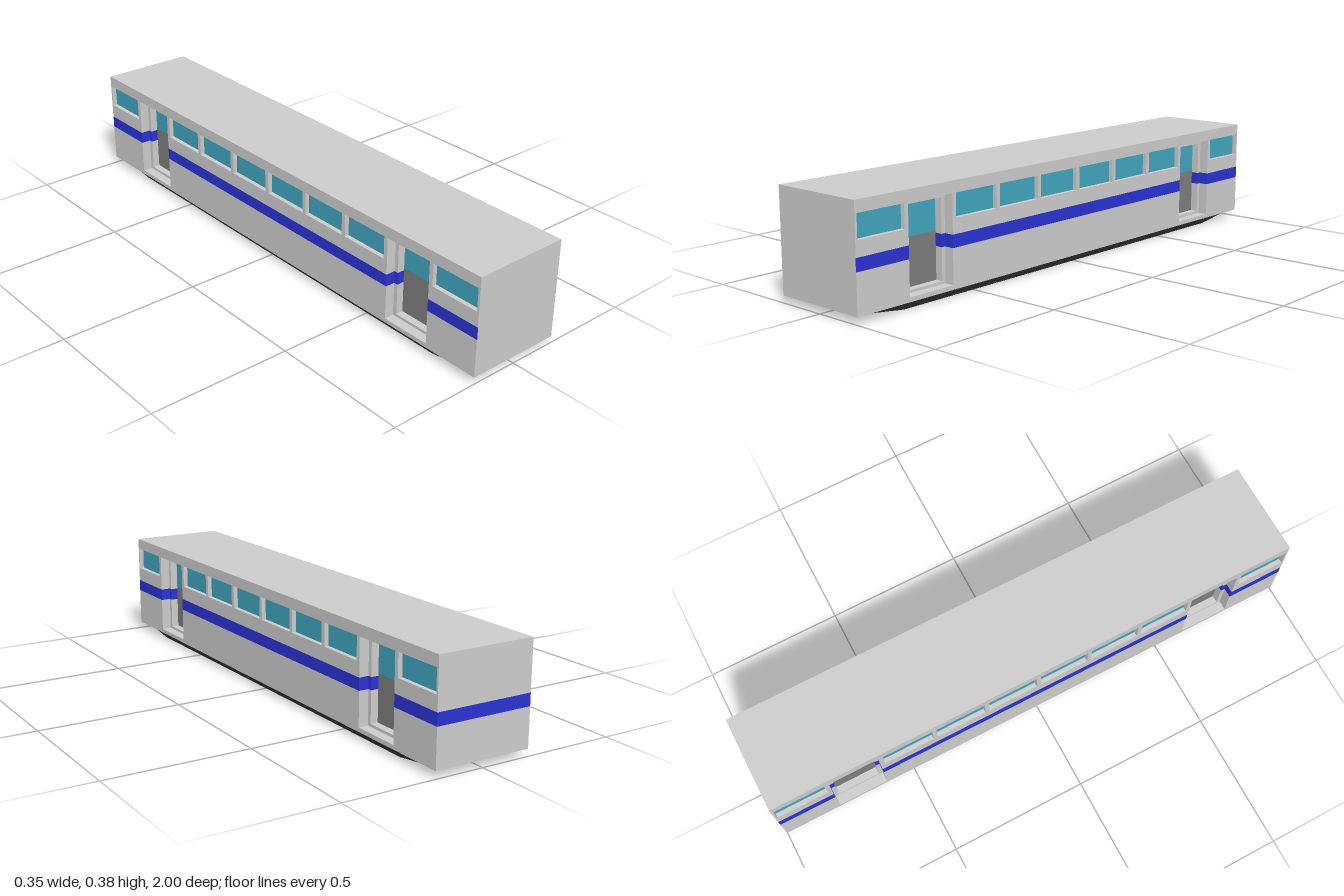
import * as THREE from 'three';

const HALF_W = 0.175, HALF_L = 1;
const SLOTS = [0.9, 0.7, 0.5, 0.3, 0.1, -0.1, -0.3, -0.5, -0.7, -0.9];
const isDoor = z => Math.abs(Math.abs(z) - 0.7) < 0.01;
const WINDOW = { half: 0.092, depth: 0.018, y0: 0.255, y1: 0.335 };
const DOOR = { outer: 0.0925, outerDepth: 0.035, inner: 0.0775, innerDepth: 0.065, y0: 0.05, sill: 0.21, y1: 0.32 };

const mat = color => new THREE.MeshStandardMaterial({ color, flatShading: true });

// One side of the floor plan, front to back, with notches for doors and windows
function sideOutline(doorLevel, windows) {
  const pts = [[HALF_W, HALF_L]];
  for (const z of SLOTS) {
    if (isDoor(z)) {
      if (!doorLevel) continue;
      const a = HALF_W - DOOR.outerDepth, b = HALF_W - DOOR.innerDepth;
      pts.push([HALF_W, z + DOOR.outer], [a, z + DOOR.outer]);
      if (doorLevel === 2) {
        pts.push([a, z + DOOR.inner], [b, z + DOOR.inner], [b, z - DOOR.inner], [a, z - DOOR.inner]);
      }
      pts.push([a, z - DOOR.outer], [HALF_W, z - DOOR.outer]);
    } else if (windows) {
      const a = HALF_W - WINDOW.depth;
      pts.push([HALF_W, z + WINDOW.half], [a, z + WINDOW.half], [a, z - WINDOW.half], [HALF_W, z - WINDOW.half]);
    }
  }
  pts.push([HALF_W, -HALF_L]);
  return pts;
}

// A horizontal slice of the body
function bandGeometry(y0, y1, doorLevel, windows) {
  const side = sideOutline(doorLevel, windows);
  const other = side.map(([x, z]) => [-x, z]).reverse();
  const shape = new THREE.Shape([...side, ...other].map(([x, z]) => new THREE.Vector2(x, -z)));
  const geo = new THREE.ExtrudeGeometry(shape, { depth: y1 - y0, bevelEnabled: false });
  return geo.rotateX(-Math.PI / 2).translate(0, y0, 0);
}

export function createModel() {
  const model = new THREE.Group();
  model.name = 'railCar';
  const grey = mat(0xcccccc), blue = mat(0x2a32d2), glass = mat(0x41a4be);
  const doorGrey = mat(0x7c7c7c), black = mat(0x262626);

  const add = (name, geo, material, parent = model) => {
    const mesh = new THREE.Mesh(geo, material);
    mesh.name = name;
    parent.add(mesh);
    return mesh;
  };

  // Body slices: bottom, top, door recess level, window recesses, material
  const bands = [
    ['floorBand', 0.025, 0.04, 0, false, grey],
    ['doorSillBand', 0.04, DOOR.y0, 1, false, grey],
    ['lowerWall', DOOR.y0, 0.16, 2, false, grey],
    ['stripe', 0.16, 0.203, 2, false, blue],
    ['middleWall', 0.203, WINDOW.y0, 2, false, grey],
    ['windowWall', WINDOW.y0, DOOR.y1, 2, true, grey],
    ['lintelBand', DOOR.y1, WINDOW.y1, 1, true, grey],
    ['roof', WINDOW.y1, 0.375, 0, false, grey],
  ];
  for (const [name, y0, y1, level, windows, material] of bands) {
    add(name, bandGeometry(y0, y1, level, windows), material);
  }

  // Plain front end covering the stripe
  add('frontEnd', new THREE.PlaneGeometry(2 * HALF_W, 0.35), grey).position.set(0, 0.2, HALF_L + 0.0008);

  // Panes and doors on both sides
  const panel = (name, s, depth, t, y0, y1, half, z, material) =>
    add(name, new THREE.BoxGeometry(t, y1 - y0, 2 * half), material)
      .position.set(s * (HALF_W - depth + t / 2), (y0 + y1) / 2, z);
  for (const s of [1, -1]) {
    for (const z of SLOTS) {
      if (isDoor(z)) {
        panel('door', s, DOOR.innerDepth, 0.003, DOOR.y0, DOOR.sill, DOOR.inner, z, doorGrey);
        panel('doorWindow', s, DOOR.innerDepth, 0.003, DOOR.sill, DOOR.y1, DOOR.inner, z, glass);
      } else {
        panel('window', s, WINDOW.depth, 0.002, WINDOW.y0, WINDOW.y1, WINDOW.half, z, glass);
      }
    }
    // Underframe skid with sloped ends
    const profile = new THREE.Shape([[-0.985, 0.025], [-0.8, 0], [0.8, 0], [0.985, 0.025]]
      .map(([z, y]) => new THREE.Vector2(z, y)));
    const skid = new THREE.ExtrudeGeometry(profile, { depth: 0.135, bevelEnabled: false });
    skid.rotateY(-Math.PI / 2).translate(0.0675 + s * 0.0875, 0, 0);
    add('underframe', skid, black);
  }
  return model;
}
